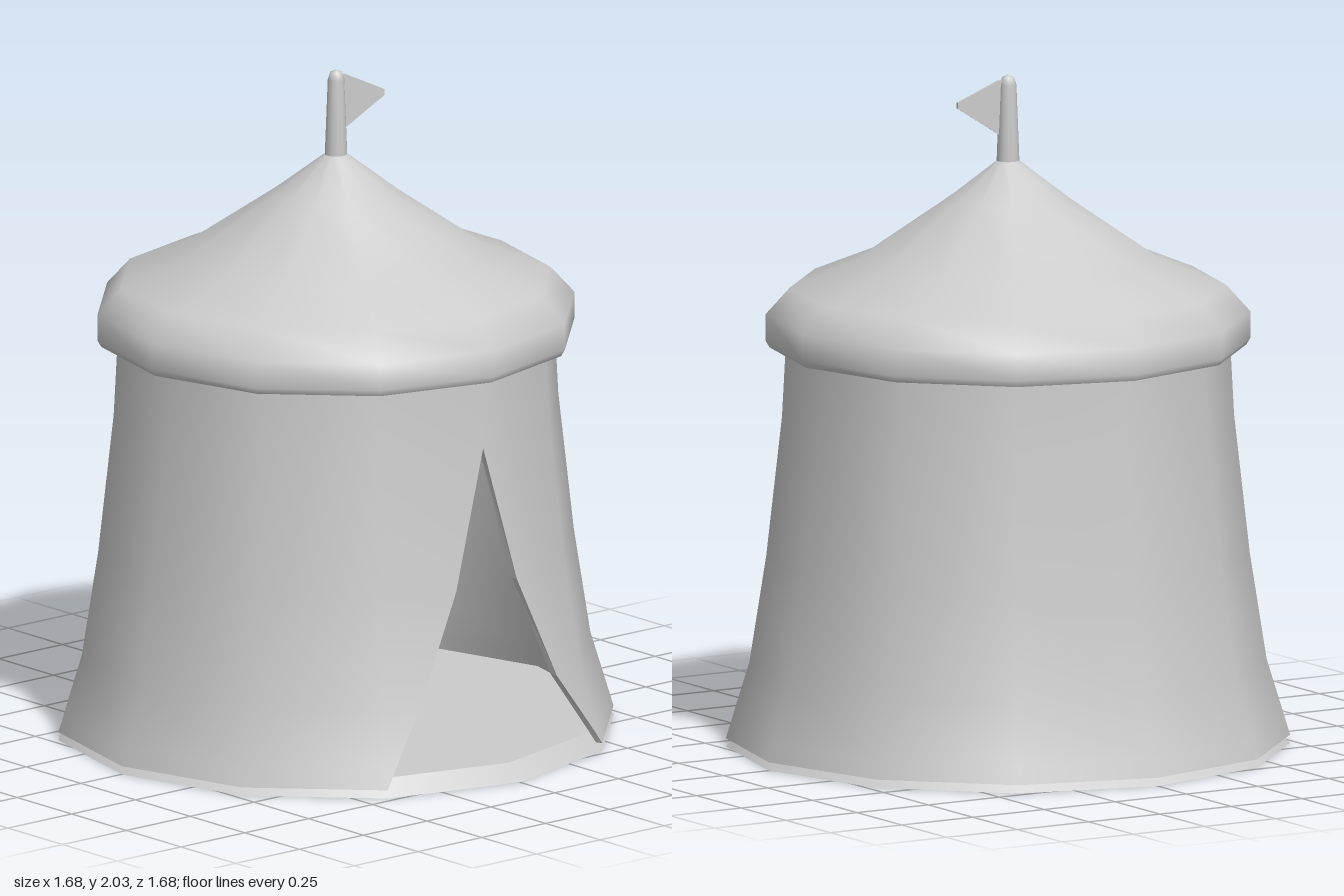
import * as THREE from 'three';

const SIDES = 12;
const material = new THREE.MeshStandardMaterial({ color: 0xcccccc });
const doubleSided = new THREE.MeshStandardMaterial({ color: 0xcccccc, side: THREE.DoubleSide });

function addPart(group, name, geometry, mat = material) {
  const mesh = new THREE.Mesh(geometry, mat);
  mesh.name = name;
  group.add(mesh);
  return mesh;
}

function lathe(points, sides = SIDES) {
  return new THREE.LatheGeometry(points.map(([r, y]) => new THREE.Vector2(r, y)), sides);
}

// Wall rows: radius, height, how far the door is drawn open (0 closed, 1 a full facet)
const WALL = [
  [0.84, 0, 1], [0.825, 0.05, 0.94], [0.77, 0.23, 0.69], [0.72, 0.55, 0.33],
  [0.673, 0.97, 0], [0.66, 1.22, 0],
];
const THICKNESS = 0.02;

// Twelve-sided skin whose two front seam columns are pulled apart to form the door
function wallSkin(inset, inward) {
  const rows = inward ? [...WALL].reverse() : WALL;
  const geometry = lathe(rows.map(([r, y]) => [r - inset, y]));
  const n = rows.length;
  for (const attribute of [geometry.attributes.position, geometry.attributes.normal]) {
    const a = new THREE.Vector3(), b = new THREE.Vector3();
    for (const [seam, next] of [[0, 1], [SIDES, SIDES - 1]]) {
      rows.forEach(([, , open], j) => {
        a.fromBufferAttribute(attribute, seam * n + j);
        b.fromBufferAttribute(attribute, next * n + j);
        a.lerp(b, open);
        attribute.setXYZ(seam * n + j, a.x, a.y, a.z);
      });
    }
  }
  return geometry;
}

// Narrow strip joining the outer and inner skins along one side of the door
function doorHem(side) {
  const point = (row, inset) => {
    const [r, y, open] = row;
    const R = r - inset;
    return [side * R * 0.5 * open, y, R * (1 - open * (1 - Math.cos(Math.PI / 6)))];
  };
  const positions = [];
  for (let j = 0; j < 4; j++) {
    const a = point(WALL[j], 0), b = point(WALL[j], THICKNESS);
    const c = point(WALL[j + 1], THICKNESS), d = point(WALL[j + 1], 0);
    positions.push(...a, ...b, ...c, ...a, ...c, ...d);
  }
  const geometry = new THREE.BufferGeometry();
  geometry.setAttribute('position', new THREE.Float32BufferAttribute(positions, 3));
  geometry.computeVertexNormals();
  return geometry;
}

export function createModel() {
  const tent = new THREE.Group();
  tent.name = 'tent';

  // Floor slab
  addPart(tent, 'floor', new THREE.CylinderGeometry(0.79, 0.84, 0.05, SIDES));

  // Canvas walls with the door opening
  const walls = new THREE.Group();
  walls.name = 'walls';
  addPart(walls, 'outerWall', wallSkin(0, false));
  addPart(walls, 'innerWall', wallSkin(THICKNESS, true));
  addPart(walls, 'leftDoorHem', doorHem(1), doubleSided);
  addPart(walls, 'rightDoorHem', doorHem(-1), doubleSided);
  tent.add(walls);

  // Concave roof with a rounded valance, and the underside of its rim
  addPart(tent, 'roof', lathe([
    [0.71, 1.18], [0.722, 1.2], [0.722, 1.28], [0.65, 1.36],
    [0.455, 1.44], [0.185, 1.625], [0.035, 1.74], [0.02, 1.745],
  ]), doubleSided);
  addPart(tent, 'roofRim', lathe([[0.64, 1.195], [0.69, 1.18], [0.71, 1.18]]), doubleSided);

  // Centre pole with a rounded tip
  addPart(tent, 'pole', lathe([
    [0.044, 0], [0.034, 1.74], [0.025, 1.97], [0.018, 1.992], [0, 2],
  ], 12));

  // Pennant, turned a little towards the front
  const shape = new THREE.Shape([
    [0, 1.985], [0, 1.8], [0.03, 1.82], [0.158, 1.905], [0.158, 1.922], [0.03, 1.983],
  ].map(([x, y]) => new THREE.Vector2(x, y)));
  const pennant = new THREE.ExtrudeGeometry(shape, { depth: 0.012, bevelEnabled: false });
  pennant.translate(0, 0, -0.006);
  addPart(tent, 'pennant', pennant).rotation.y = -0.26;

  return tent;
}
